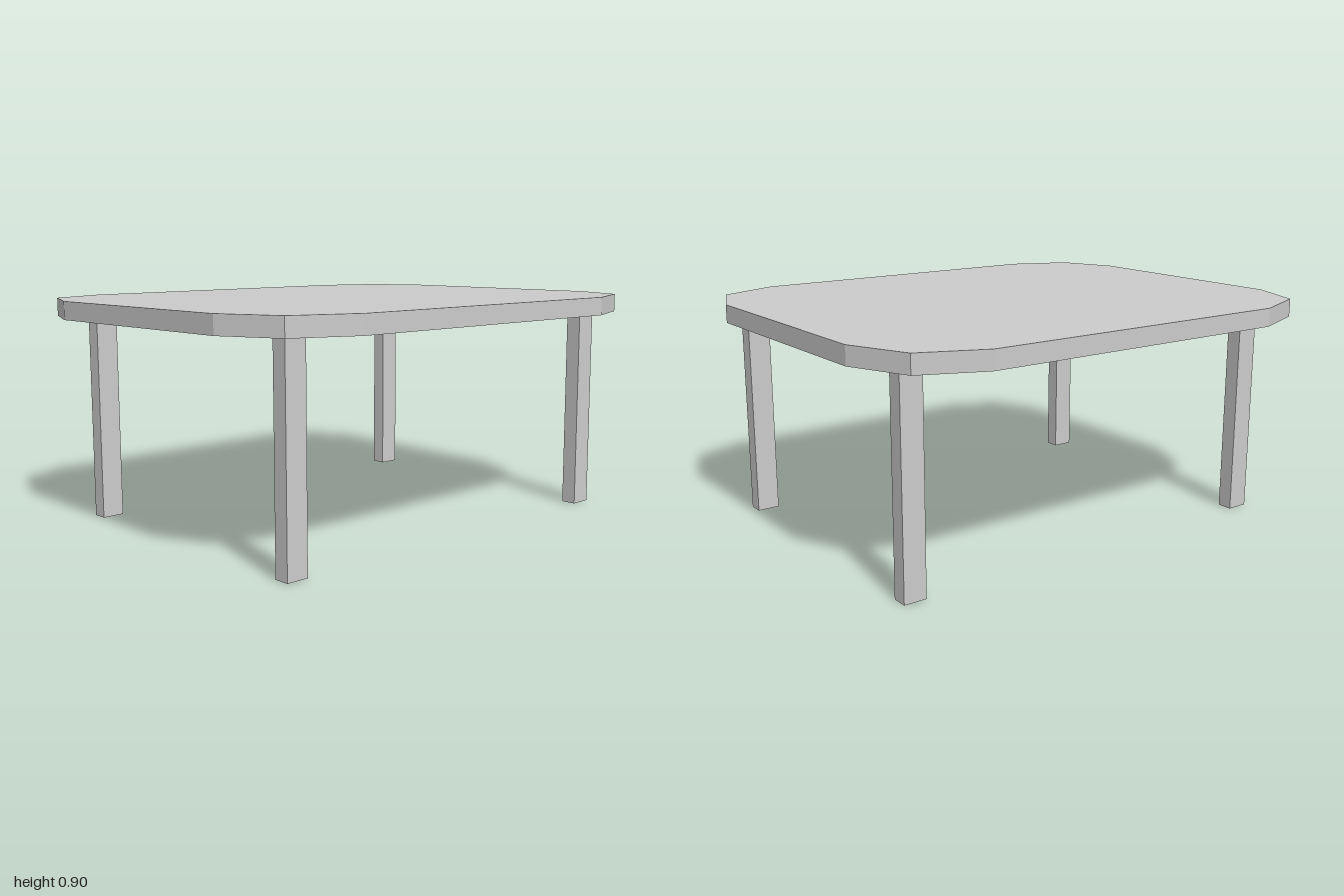
import * as THREE from 'three';

export function createModel() {
  const model = new THREE.Group();
  const material = new THREE.MeshStandardMaterial({
    color: 0xcccccc, flatShading: true, side: THREE.DoubleSide,
  });
  const tilt = -0.0043; // the whole table leans back very slightly

  // Tabletop: rectangle with two-step chamfered corners
  const corner = [[1, 0.48], [0.9, 0.715], [0.655, 0.816]];
  const mirrored = (sx, sy) => corner.map(([x, y]) => new THREE.Vector2(x * sx, y * sy));
  const outline = new THREE.Shape([
    ...mirrored(1, 1),
    ...mirrored(-1, 1).reverse(),
    ...mirrored(-1, -1),
    ...mirrored(1, -1).reverse(),
  ]);
  const thickness = 0.072;
  const topGeometry = new THREE.ExtrudeGeometry(outline, { depth: thickness, bevelEnabled: false });
  topGeometry.rotateX(-Math.PI / 2);
  const tabletop = new THREE.Mesh(topGeometry, material);
  tabletop.name = 'tabletop';
  tabletop.position.y = 0.824;
  tabletop.rotation.x = tilt;
  model.add(tabletop);

  // Legs: hollow square tubes, open at the ends
  const legGeometry = new THREE.CylinderGeometry(Math.SQRT1_2, Math.SQRT1_2, 1, 4, 1, true);
  legGeometry.rotateY(Math.PI / 4);
  legGeometry.translate(0, 0.5, 0);
  const addLeg = (name, x, z) => {
    const leg = new THREE.Mesh(legGeometry, material);
    leg.name = name;
    leg.scale.set(0.09, 0.825 - z * 0.004, 0.062);
    leg.scale.y = 0.824 - z * tilt;
    leg.position.set(x, 0, z);
    leg.rotation.x = tilt;
    model.add(leg);
  };
  addLeg('frontLeftLeg', 0.833, 0.594);
  addLeg('frontRightLeg', -0.777, 0.594);
  addLeg('backLeftLeg', 0.833, -0.573);
  addLeg('backRightLeg', -0.777, -0.573);

  return model;
}
